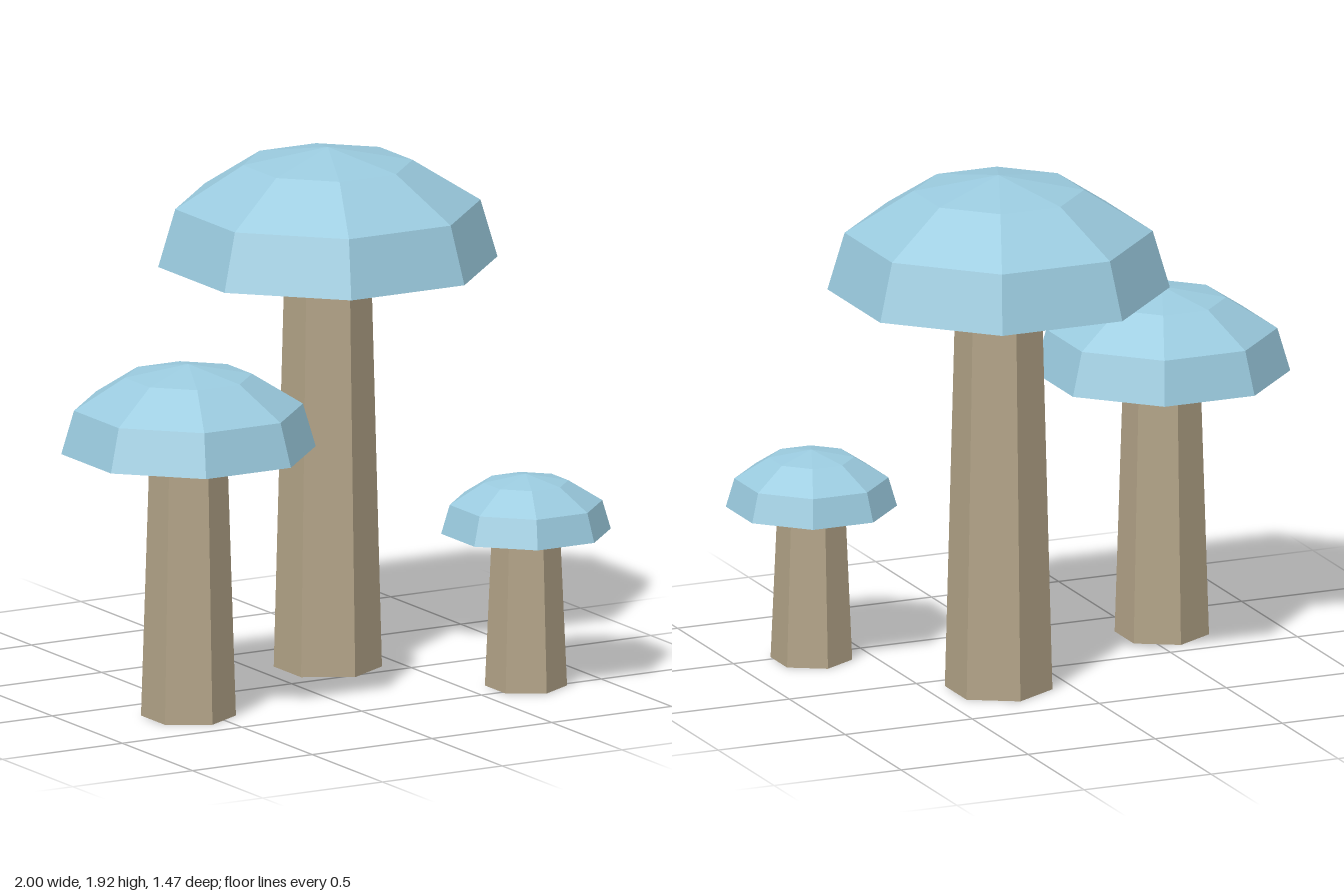
import * as THREE from 'three';

const capBlue = new THREE.MeshStandardMaterial({ color: 0x9acade });
const stemTan = new THREE.MeshStandardMaterial({ color: 0xb2a387 });
capBlue.name = 'capBlue';
stemTan.name = 'stemTan';

// Split faces so every facet gets its own flat normal
function faceted(geometry) {
  const flat = geometry.toNonIndexed();
  flat.computeVertexNormals();
  return flat;
}

// Cap profile at full size: closed underside, steep rim, shallow dome
const capProfile = [[0, 0], [0.617, 0], [0.555, 0.212], [0.308, 0.367], [0, 0.425]]
  .map(([r, y]) => new THREE.Vector2(r, y));

function mushroom({ name, x, z, stemHeight, bottomRadius, topRadius, capScale }) {
  const group = new THREE.Group();
  group.name = name;
  group.position.set(x, 0, z);

  // Tapered six-sided stem
  const stem = new THREE.Mesh(
    faceted(new THREE.CylinderGeometry(topRadius, bottomRadius, stemHeight, 6)), stemTan);
  stem.name = 'stem';
  stem.position.y = stemHeight / 2;

  // Eight-sided cap with flat sides facing the axes
  const cap = new THREE.Mesh(
    faceted(new THREE.LatheGeometry(capProfile, 8, Math.PI / 8)), capBlue);
  cap.name = 'cap';
  cap.position.y = stemHeight;
  cap.scale.setScalar(capScale);

  group.add(stem, cap);
  return group;
}

export function createModel() {
  const model = new THREE.Group();
  model.name = 'mushroomCluster';
  [
    { name: 'tallMushroom', x: 0.25, z: -0.168, stemHeight: 1.498, bottomRadius: 0.195, topRadius: 0.156, capScale: 1 },
    { name: 'mediumMushroom', x: -0.573, z: 0.243, stemHeight: 0.982, bottomRadius: 0.171, topRadius: 0.14, capScale: 0.75 },
    { name: 'smallMushroom', x: 0.715, z: 0.45, stemHeight: 0.571, bottomRadius: 0.148, topRadius: 0.123, capScale: 0.5 },
  ].forEach((spec) => model.add(mushroom(spec)));
  return model;
}
